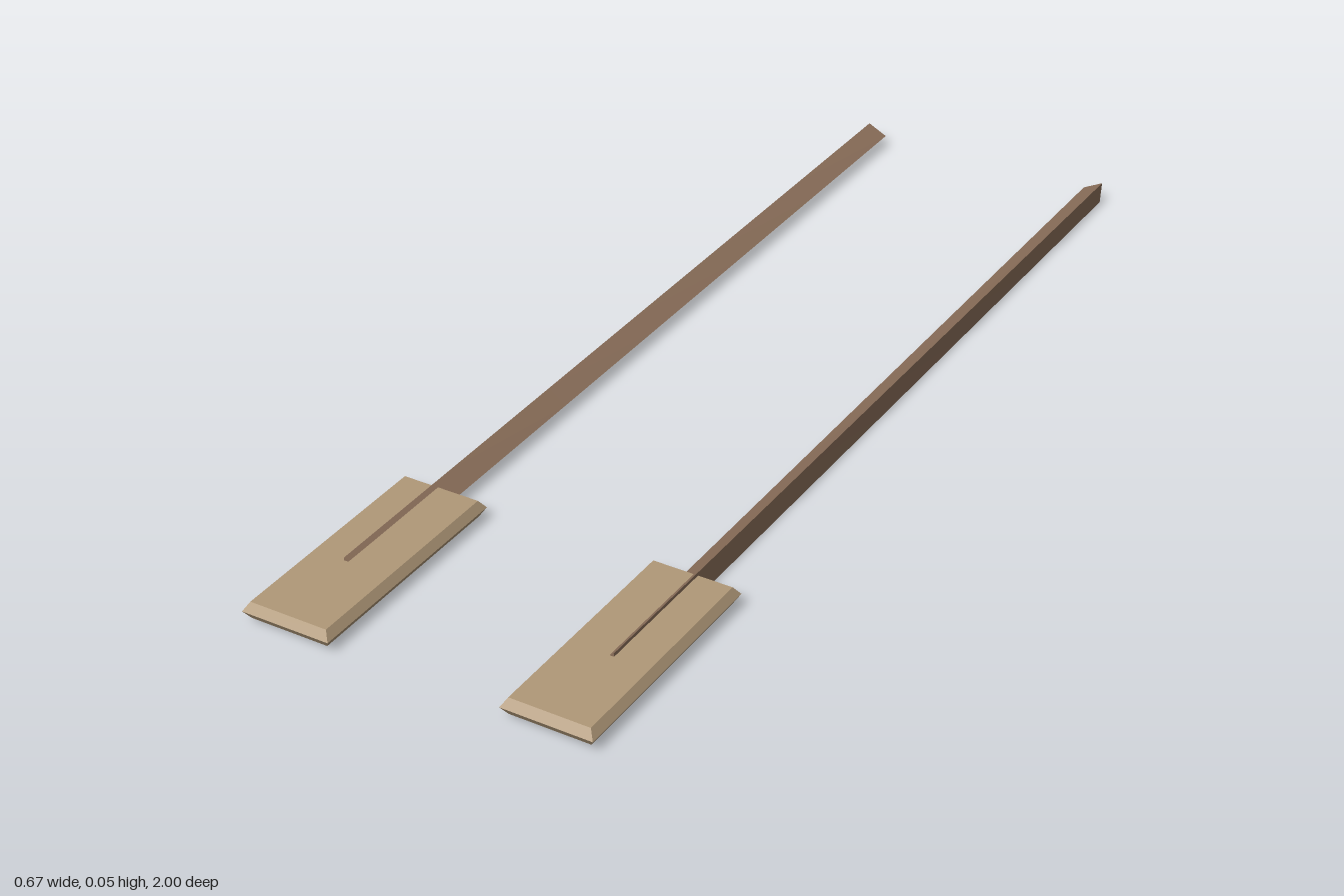
import * as THREE from 'three';

const shaftMaterial = new THREE.MeshStandardMaterial({ color: 0x8b6f5a, flatShading: true });
const bladeMaterial = new THREE.MeshStandardMaterial({ color: 0xb09878, flatShading: true });

// Three-sided pole along z, one edge facing inward, slightly twisted along its length
function makeShaft(side) {
  const length = 1.82;
  const geometry = new THREE.CylinderGeometry(0.025, 0.025, length, 3, 6, false, -side * Math.PI / 2);
  geometry.rotateX(Math.PI / 2);
  const p = geometry.attributes.position;
  for (let i = 0; i < p.count; i++) {
    const t = p.getZ(i) / length + 0.5;
    const angle = side * THREE.MathUtils.degToRad(-3 + 9 * t);
    const x = p.getX(i), y = p.getY(i);
    p.setXY(i, x * Math.cos(angle) - y * Math.sin(angle), x * Math.sin(angle) + y * Math.cos(angle));
  }
  geometry.computeVertexNormals();
  const shaft = new THREE.Mesh(geometry, shaftMaterial);
  shaft.position.set(side > 0 ? 0.247 : -0.252, 0.0235, -0.09);
  return shaft;
}

// Flat slab, widest at mid height, with its top and bottom faces drawn in
function makeBlade(side) {
  const geometry = new THREE.BoxGeometry(0.17, 0.032, 0.445, 1, 2, 1);
  const p = geometry.attributes.position;
  for (let i = 0; i < p.count; i++) {
    if (Math.abs(p.getY(i)) < 0.001) continue;
    p.setX(i, p.getX(i) - Math.sign(p.getX(i)) * 0.01);
    p.setZ(i, p.getZ(i) - Math.sign(p.getZ(i)) * 0.011);
  }
  geometry.computeVertexNormals();
  const blade = new THREE.Mesh(geometry, bladeMaterial);
  blade.position.set(side * 0.248, 0.0245, 0.7775);
  return blade;
}

export function createModel() {
  const model = new THREE.Group();
  model.name = 'pairOfOars';
  for (const [side, label] of [[1, 'left'], [-1, 'right']]) {
    const oar = new THREE.Group();
    oar.name = label + 'Oar';
    const shaft = makeShaft(side);
    shaft.name = label + 'Shaft';
    const blade = makeBlade(side);
    blade.name = label + 'Blade';
    oar.add(shaft, blade);
    model.add(oar);
  }
  return model;
}
